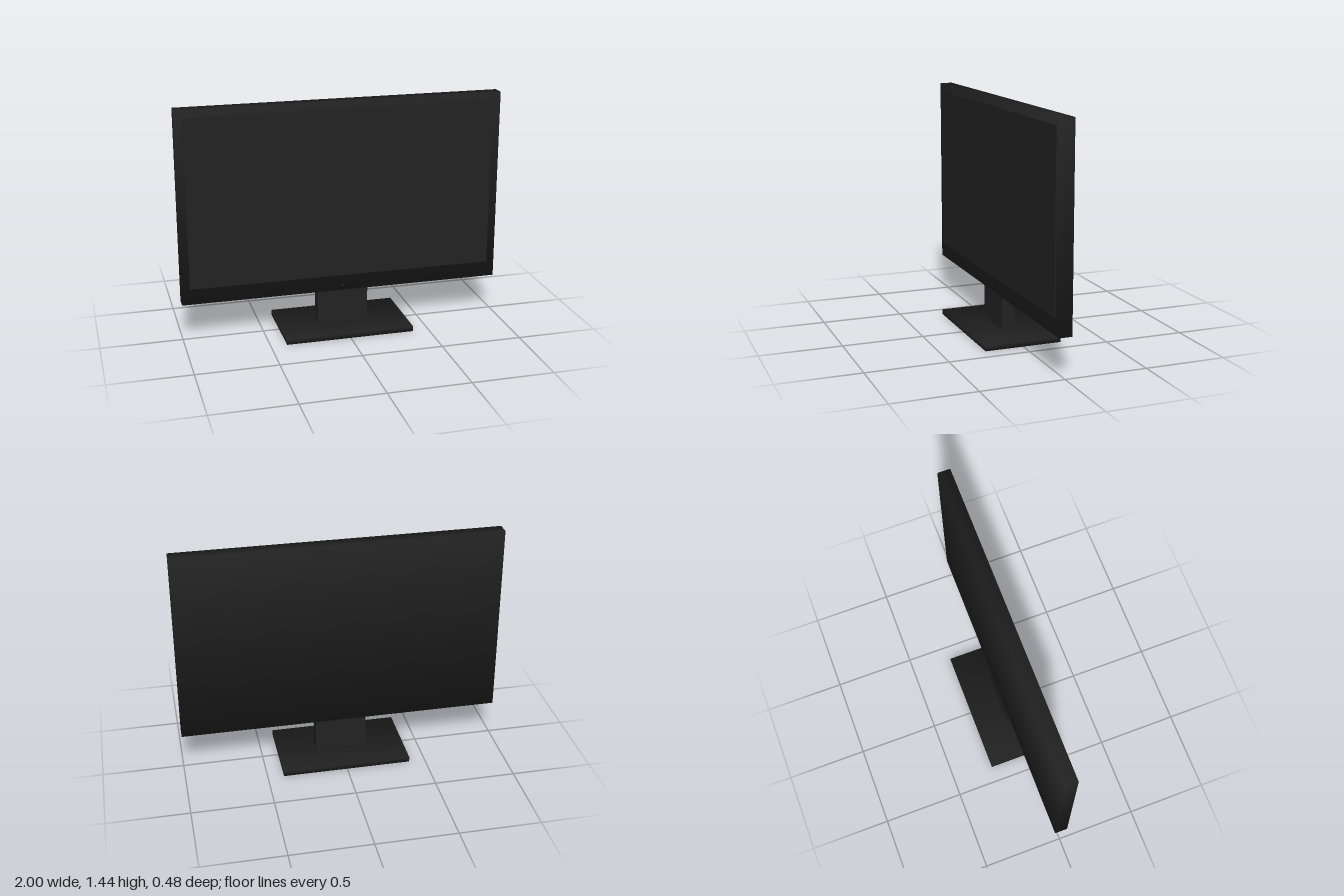
import * as THREE from 'three';

const plastic = new THREE.MeshStandardMaterial({ color: 0x222222 });

// Box given by its size, bottom height and centre depth
function box(name, w, h, d, bottom, z = 0) {
  const mesh = new THREE.Mesh(new THREE.BoxGeometry(w, h, d), plastic);
  mesh.name = name;
  mesh.position.set(0, bottom + h / 2, z);
  return mesh;
}

// Smooth shading across the corners: each normal points along its corner's diagonal
function softenCorners(mesh) {
  const { position, normal } = mesh.geometry.attributes;
  const n = new THREE.Vector3();
  for (let i = 0; i < position.count; i++) {
    n.fromBufferAttribute(position, i);
    n.set(Math.sign(n.x), Math.sign(n.y), Math.sign(n.z)).normalize();
    normal.setXYZ(i, n.x, n.y, n.z);
  }
  return mesh;
}

export function createModel() {
  const model = new THREE.Group();
  model.name = 'monitor';

  // Foot and neck
  model.add(softenCorners(box('base', 0.8, 0.032, 0.48, 0)));
  model.add(box('neck', 0.32, 0.22, 0.078, 0.03));

  // Casing with the screen standing slightly proud of its front
  model.add(softenCorners(box('casing', 2, 1.2, 0.08, 0.24)));
  model.add(box('screen', 1.9, 1.055, 0.01, 0.34, 0.041));

  // Small power button below the screen
  model.add(box('powerButton', 0.016, 0.008, 0.012, 0.271, 0.042));

  return model;
}
